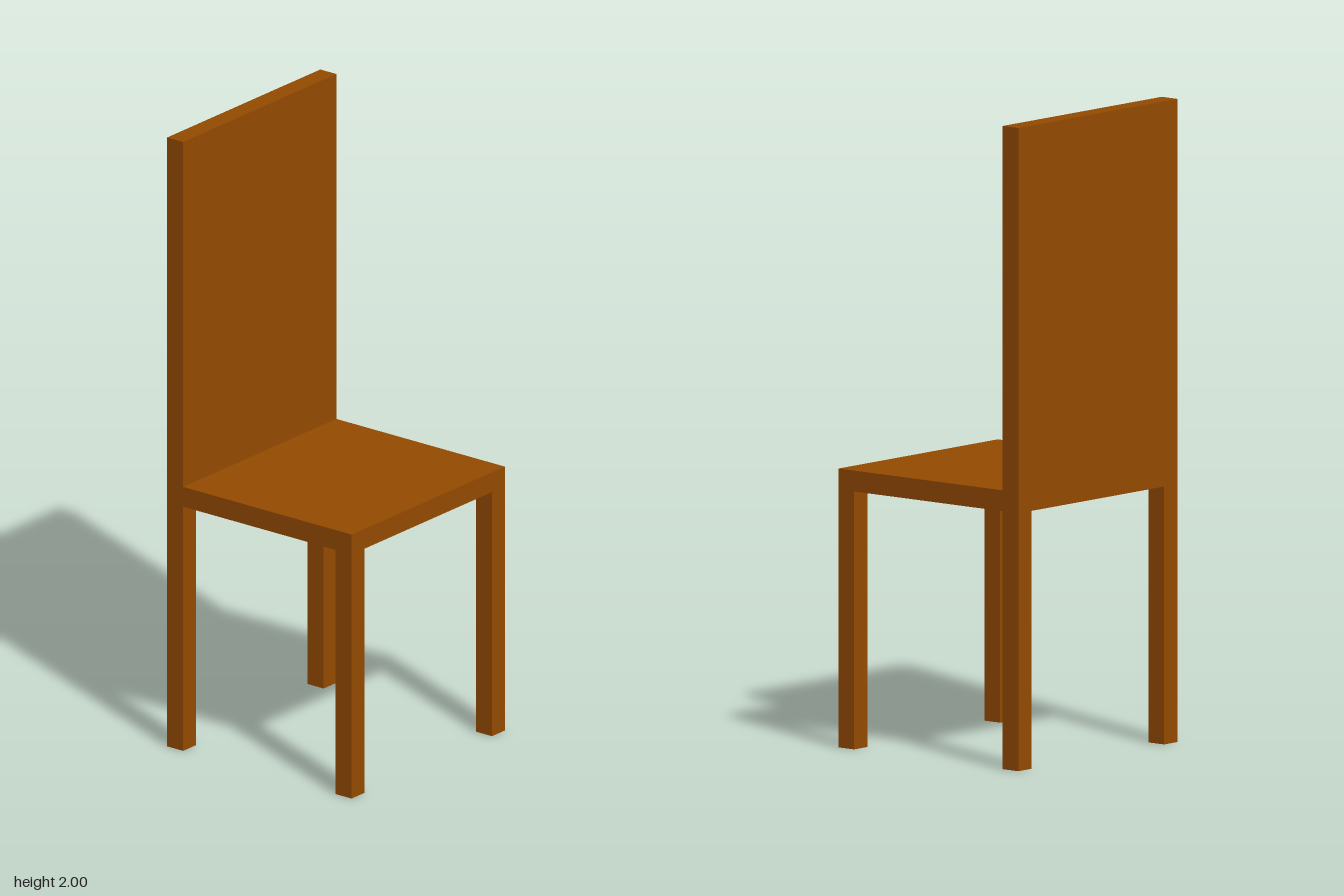
import * as THREE from 'three';

export function createModel() {
  const wood = new THREE.MeshStandardMaterial({ color: 0x964b00 });
  wood.name = 'brown wood';

  const W = 0.754, D = 0.725, H = 2;          // overall size
  const T = 0.063;                            // leg and board thickness
  const seatBottom = 0.802, seatTop = 0.867;

  const chair = new THREE.Group();
  chair.name = 'chair';

  // Box given by its size, the height of its underside and its centre
  const box = (name, w, h, d, x, bottom, z) => {
    const mesh = new THREE.Mesh(new THREE.BoxGeometry(w, h, d), wood);
    mesh.name = name;
    mesh.position.set(x, bottom + h / 2, z);
    chair.add(mesh);
  };

  // Seat board, butting against the front of the backrest
  box('seat', W, seatTop - seatBottom, D - T, 0, seatBottom, T / 2);

  // Tall solid backrest
  box('backrest', W, H - seatBottom, T, 0, seatBottom, -(D - T) / 2);

  // Four square legs flush with the corners
  for (const [side, sx] of [['Left', 1], ['Right', -1]]) {
    for (const [end, sz] of [['front', 1], ['back', -1]]) {
      box(`${end}${side}Leg`, T, seatBottom, T, sx * (W - T) / 2, 0, sz * (D - T) / 2);
    }
  }

  return chair;
}
